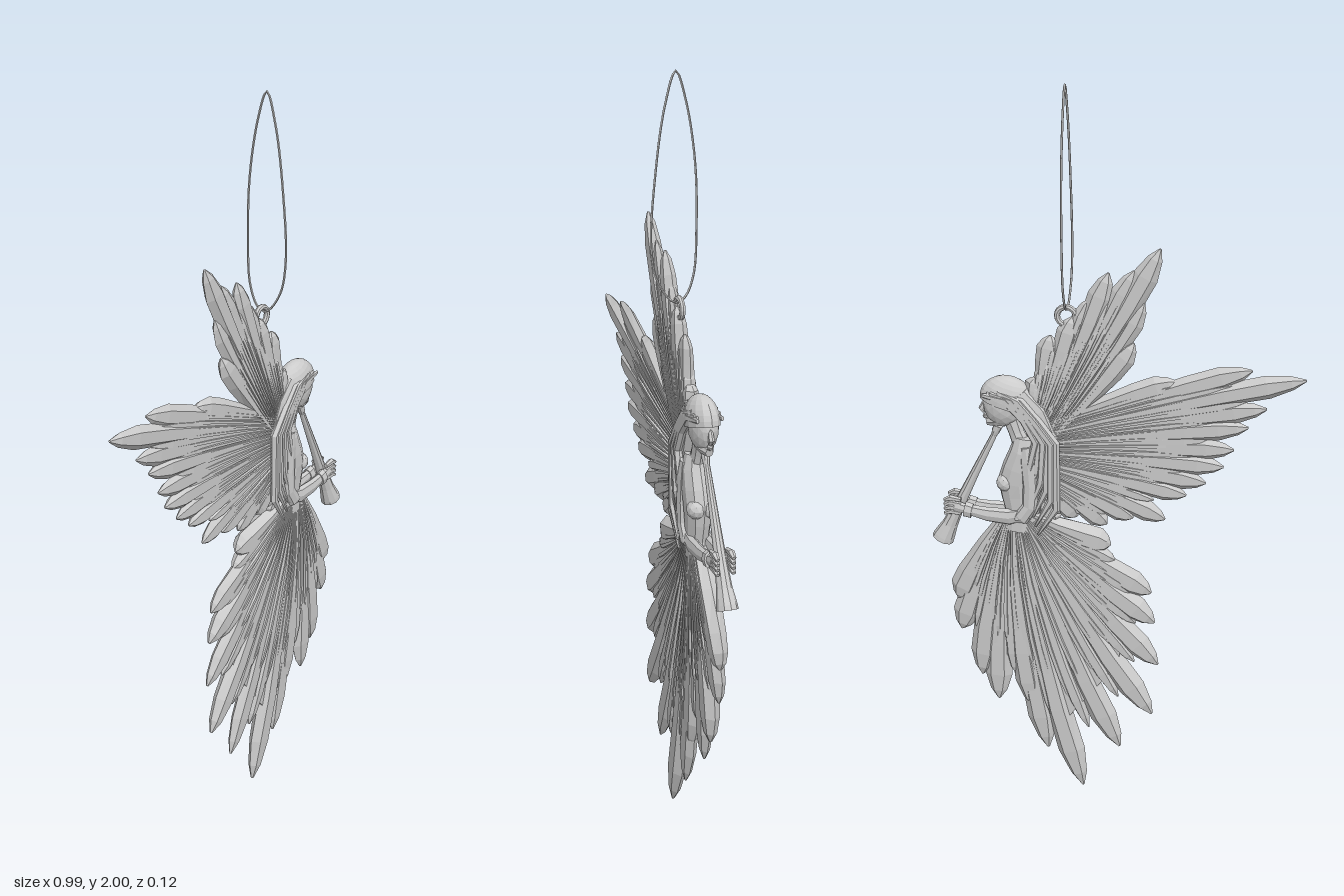
import * as THREE from 'three';

const MID = -0.012; // the flat figure's middle plane in z
const material = new THREE.MeshStandardMaterial({ color: 0xcccccc, flatShading: true, side: THREE.DoubleSide });

function add(parent, name, geometry, x = 0, y = 0, z = 0) {
  const mesh = new THREE.Mesh(geometry, material);
  mesh.name = name;
  mesh.position.set(x, y, z);
  parent.add(mesh);
  return mesh;
}

// Skins oval rings along a path in the xy plane; each section is [x, y, halfWidth, halfDepth]
function loft(sections, sides = 8) {
  const pos = [], index = [], last = sections.length - 1;
  sections.forEach(([x, y, w, d], i) => {
    const a = sections[Math.max(i - 1, 0)], b = sections[Math.min(i + 1, last)];
    const len = Math.hypot(b[0] - a[0], b[1] - a[1]);
    const tx = (b[0] - a[0]) / len, ty = (b[1] - a[1]) / len;
    for (let j = 0; j < sides; j++) {
      const t = (j / sides) * Math.PI * 2, c = Math.cos(t) * w;
      pos.push(x - ty * c, y + tx * c, Math.sin(t) * d);
    }
  });
  for (let i = 0; i < last; i++) {
    for (let j = 0; j < sides; j++) {
      const k = (j + 1) % sides, a = i * sides, b = a + sides;
      index.push(a + j, a + k, b + k, a + j, b + k, b + j);
    }
  }
  const end = last * sides;
  for (let j = 1; j < sides - 1; j++) index.push(0, j + 1, j, end, end + j, end + j + 1);
  const g = new THREE.BufferGeometry();
  g.setAttribute('position', new THREE.Float32BufferAttribute(pos, 3));
  g.setIndex(index);
  g.computeVertexNormals();
  return g;
}

const lerp = THREE.MathUtils.lerp;
const mix = (a, b, t) => [lerp(a[0], b[0], t), lerp(a[1], b[1], t)];

// A blade that widens toward a pointed tip, with a slight bend
function feather(root, tip, width, depth, bend = 0) {
  const profile = [[0, 0.3, 0.9], [0.35, 0.6, 1], [0.7, 0.95, 0.95], [0.86, 1, 0.85], [0.95, 0.6, 0.6], [1, 0.1, 0.15]];
  const dx = tip[0] - root[0], dy = tip[1] - root[1];
  return loft(profile.map(([t, w, d]) => {
    const s = Math.sin(t * Math.PI) * bend;
    return [root[0] + dx * t - dy * s, root[1] + dy * t + dx * s, width * w, depth * d];
  }), 6);
}

// A fan of feathers with raised ribs between them and a thin web that closes the gaps
function fan(parent, name, rootA, rootB, tips, width, depth, bend) {
  const group = new THREE.Group();
  group.name = name;
  group.position.z = MID;
  parent.add(group);
  const n = tips.length - 1;
  const rootAt = (i) => mix(rootA, rootB, i / n);
  tips.forEach((tip, i) => {
    add(group, 'feather', feather(rootAt(i), tip, width, depth * (i % 2 ? 0.8 : 1), bend));
    if (i === n) return;
    const between = mix(tip, tips[i + 1], 0.5), root = rootAt(i + 0.5);
    add(group, 'shortFeather', feather(root, mix(root, between, 0.84), width * 0.6, depth * 0.9, bend));
    for (const t of [0.25, 0.75]) {
      const r = rootAt(i + t);
      add(group, 'rib', feather(r, mix(r, mix(tip, tips[i + 1], t), 0.7), width * 0.25, depth * 1.12, bend));
    }
  });
  const outline = [rootA, ...tips.map((tip, i) => mix(rootAt(i), tip, 0.74)), rootB];
  const shape = new THREE.Shape(outline.map(([x, y]) => new THREE.Vector2(x, y)));
  const web = new THREE.ExtrudeGeometry(shape, { depth: depth * 0.8, bevelEnabled: false });
  add(group, 'web', web, 0, 0, -depth * 0.4);
}

export function createModel() {
  const model = new THREE.Group();
  model.name = 'angelOrnament';

  // Wings and feathered skirt
  fan(model, 'upperWing', [0.14, 1.1], [0.21, 1.13],
    [[-0.06, 1.36], [-0.085, 1.47], [-0.125, 1.61], [-0.06, 1.55], [0.005, 1.54], [0.05, 1.47], [0.095, 1.42], [0.155, 1.365], [0.19, 1.25]],
    0.032, 0.022, 0.015);
  fan(model, 'lowerWing', [0.17, 1.12], [0.2, 0.95],
    [[-0.17, 1.265], [-0.36, 1.31], [-0.495, 1.295], [-0.4, 1.21], [-0.355, 1.155], [-0.32, 1.09], [-0.295, 1.04], [-0.25, 0.99],
      [-0.2, 0.95], [-0.145, 0.875], [-0.06, 0.87], [0.01, 0.845], [0.09, 0.86], [0.155, 0.835]],
    0.031, 0.021, -0.01);
  fan(model, 'skirt', [0.215, 0.86], [0.285, 0.85],
    [[0.0, 0.785], [-0.11, 0.65], [-0.12, 0.56], [-0.13, 0.43], [-0.115, 0.27], [-0.025, 0.15], [0.08, 0.005], [0.18, 0.12],
      [0.22, 0.25], [0.32, 0.265], [0.365, 0.34], [0.42, 0.48], [0.425, 0.575]],
    0.039, 0.027, 0.025);

  // Torso, neck and waistband
  const body = new THREE.Group();
  body.name = 'body';
  body.position.z = MID - 0.002;
  model.add(body);
  add(body, 'torso', loft([[0.25, 0.81, 0.045, 0.028], [0.245, 0.86, 0.04, 0.029], [0.25, 0.91, 0.046, 0.032],
    [0.253, 0.95, 0.05, 0.036], [0.243, 0.99, 0.046, 0.037], [0.228, 1.04, 0.04, 0.035], [0.225, 1.08, 0.03, 0.025]], 10));
  add(body, 'neck', loft([[0.225, 1.03, 0.028, 0.022], [0.25, 1.09, 0.021, 0.018], [0.27, 1.15, 0.024, 0.02]]));
  const waist = add(body, 'waistband', new THREE.TorusGeometry(0.04, 0.008, 6, 14), 0.247, 0.845);
  waist.rotation.x = Math.PI / 2;
  waist.scale.y = 0.65;
  for (const s of [-1, 1]) {
    add(body, 'bust', new THREE.IcosahedronGeometry(0.026, 1), 0.278, 0.95, s * 0.014);
  }

  // Head in profile, facing +x
  const skull = add(body, 'head', new THREE.IcosahedronGeometry(1, 2), 0.283, 1.17);
  skull.scale.set(0.054, 0.066, 0.036);
  add(body, 'jaw', loft([[0.28, 1.13, 0.026, 0.026], [0.305, 1.12, 0.018, 0.02], [0.328, 1.115, 0.012, 0.01]]));
  add(body, 'nose', loft([[0.33, 1.175, 0.006, 0.006], [0.341, 1.15, 0.009, 0.008], [0.335, 1.14, 0.005, 0.006]], 6));
  add(body, 'lips', new THREE.IcosahedronGeometry(0.009, 0), 0.331, 1.13);

  // Hair cap, with locks sweeping back over the shoulders
  const cap = add(body, 'hairCap', new THREE.SphereGeometry(1, 14, 8, 0, Math.PI * 2, 0, Math.PI * 0.56), 0.272, 1.18);
  cap.scale.set(0.074, 0.066, 0.041);
  cap.rotation.z = 0.25;
  add(body, 'backHair', loft([[0.24, 1.2, 0.035, 0.034], [0.2, 1.15, 0.045, 0.034], [0.172, 1.08, 0.045, 0.032],
    [0.17, 1.0, 0.034, 0.028], [0.195, 0.9, 0.02, 0.022], [0.205, 0.84, 0.006, 0.008]]));
  for (const side of [-1, 1]) {
    for (let i = 0; i < 6; i++) {
      const k = i / 5, drop = 1.0 - 0.13 * k;
      add(body, 'hairLock', loft([[0.33 - 0.05 * k, 1.2 + 0.015 * k, 0.006, 0.004], [0.27 - 0.04 * k, 1.19, 0.012, 0.011],
        [0.222 - 0.035 * k, 1.14, 0.012, 0.012], [0.19 - 0.05 * k, 1.08, 0.012, 0.012],
        [0.205 - 0.065 * k, drop + 0.02, 0.011, 0.01], [0.22 - 0.03 * k, drop - 0.06, 0.003, 0.003]], 6),
      0, 0, side * (0.032 - 0.004 * (i % 2)));
    }
  }

  // Arms meet at the horn
  for (const side of [-1, 1]) {
    const arm = new THREE.Group();
    arm.name = side > 0 ? 'frontArm' : 'backArm';
    arm.position.z = side * 0.027;
    body.add(arm);
    add(arm, 'upperArm', loft([[0.218, 1.06, 0.014, 0.008], [0.212, 1.02, 0.024, 0.013], [0.208, 0.95, 0.022, 0.014],
      [0.212, 0.89, 0.021, 0.014], [0.235, 0.855, 0.022, 0.014], [0.25, 0.85, 0.012, 0.01]]));
    const forearm = add(arm, 'forearm', loft([[0.215, 0.868, 0.018, 0.013], [0.27, 0.852, 0.024, 0.014],
      [0.33, 0.853, 0.021, 0.013], [0.39, 0.862, 0.015, 0.011], [0.42, 0.868, 0.017, 0.011]]));
    forearm.rotation.y = side * 0.02;
    add(arm, 'cuff', loft([[0.372, 0.858, 0.022, 0.015], [0.392, 0.862, 0.023, 0.015]]), 0, 0, -side * 0.007);
    for (let i = 0; i < 4; i++) {
      add(arm, 'finger', loft([[0.402, 0.888 - i * 0.013, 0.007, 0.006], [0.43, 0.892 - i * 0.013, 0.009, 0.009],
        [0.448, 0.884 - i * 0.013, 0.005, 0.006]], 6), 0, 0, -side * 0.006);
    }
  }

  // Long horn with a flared bell
  add(body, 'horn', loft([[0.298, 1.105, 0.012, 0.011], [0.305, 1.09, 0.011, 0.01], [0.31, 1.078, 0.008, 0.008],
    [0.37, 0.955, 0.012, 0.012], [0.415, 0.86, 0.016, 0.016], [0.44, 0.805, 0.021, 0.02], [0.458, 0.768, 0.029, 0.026],
    [0.463, 0.757, 0.03, 0.027], [0.461, 0.761, 0.022, 0.02], [0.445, 0.795, 0.013, 0.012]], 10));

  // Hanging eyelet and looped cord
  add(model, 'eyelet', new THREE.TorusGeometry(0.024, 0.008, 8, 18), 0.113, 1.42, MID);
  add(model, 'eyeletStem', loft([[0.12, 1.36, 0.013, 0.012], [0.115, 1.4, 0.01, 0.01]]), 0, 0, MID);
  const cord = new THREE.CatmullRomCurve3([[1.997, 0], [1.92, 0.026], [1.76, 0.05], [1.58, 0.061], [1.49, 0.044], [1.435, 0],
    [1.445, -0.025], [1.5, -0.048], [1.62, -0.055], [1.78, -0.05], [1.93, -0.025]]
    .map(([y, z]) => new THREE.Vector3(0.113, y, z)), true);
  add(model, 'cord', new THREE.TubeGeometry(cord, 90, 0.003, 5, true));

  return model;
}
